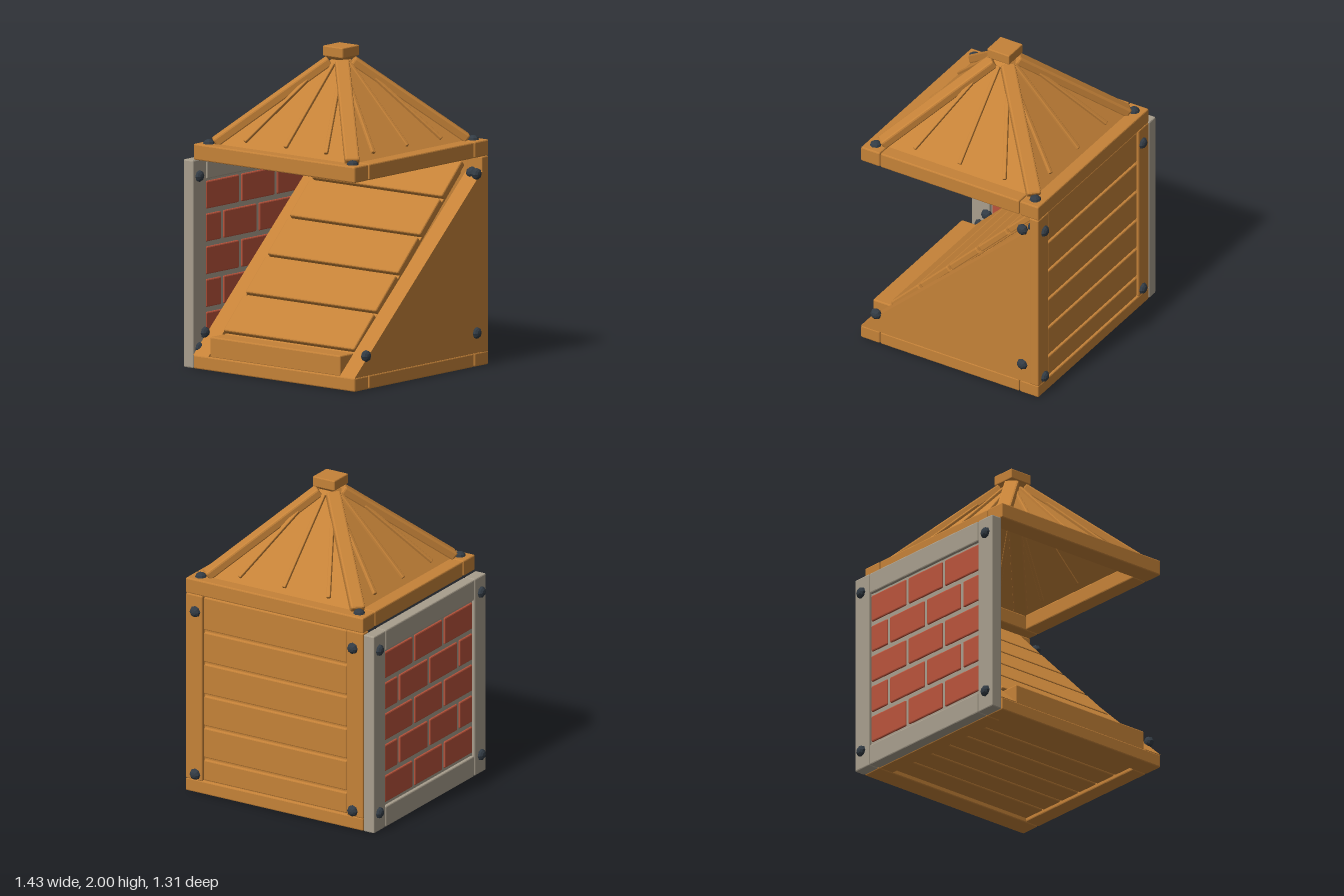
import * as THREE from 'three';
import { RoundedBoxGeometry } from 'three/addons/geometries/RoundedBoxGeometry.js';

const wood = new THREE.MeshStandardMaterial({ color: 0xc58238, flatShading: true, side: THREE.DoubleSide });
wood.name = 'wood';
const stone = new THREE.MeshStandardMaterial({ color: 0xa89e8d, flatShading: true });
stone.name = 'stone';
const brick = new THREE.MeshStandardMaterial({ color: 0xba533b, flatShading: true });
brick.name = 'brick';
const iron = new THREE.MeshStandardMaterial({ color: 0x333c45, flatShading: true });
iron.name = 'iron';

// Outer limits of the body
const X0 = -0.61, X1 = 0.68, Z0 = -0.63, Z1 = 0.65;
const CX = 0.035, CZ = 0.01;

function add(parent, name, geometry, material) {
  const mesh = new THREE.Mesh(geometry, material);
  mesh.name = name;
  parent.add(mesh);
  return mesh;
}

// Chamfered block given by its limits on each axis
function block(parent, name, mat, x0, x1, y0, y1, z0, z1, r = 0.008) {
  const mesh = add(parent, name, new RoundedBoxGeometry(x1 - x0, y1 - y0, z1 - z0, 1, r), mat);
  mesh.position.set((x0 + x1) / 2, (y0 + y1) / 2, (z0 + z1) / 2);
  return mesh;
}

// Beam between two points, w wide and h thick along the up direction
function beam(parent, name, mat, from, to, w, h, up = [0, 1, 0]) {
  const a = new THREE.Vector3(...from), b = new THREE.Vector3(...to);
  const r = Math.min(w, h) * 0.2;
  const mesh = new THREE.Mesh(new RoundedBoxGeometry(w, h, a.distanceTo(b), 1, r), mat);
  mesh.name = name;
  mesh.up.set(...up).normalize();
  mesh.position.copy(a).add(b).multiplyScalar(0.5);
  mesh.lookAt(b);
  parent.add(mesh);
  return mesh;
}

// Domed bolt facing along a normal
function bolt(parent, x, y, z, normal) {
  const mesh = add(parent, 'bolt', new THREE.SphereGeometry(0.037, 8, 6), iron);
  mesh.scale.y = 0.75;
  mesh.quaternion.setFromUnitVectors(new THREE.Vector3(0, 1, 0), new THREE.Vector3(...normal).normalize());
  mesh.position.set(x, y, z);
}

// Rectangular frame of four beams
function frame(parent, name, y0, y1) {
  block(parent, name + 'Front', wood, X0, X1, y0, y1, 0.515, Z1);
  block(parent, name + 'Back', wood, X0, X1, y0, y1, Z0, -0.495);
  block(parent, name + 'Left', wood, 0.575, X1, y0, y1, -0.49, 0.51);
  block(parent, name + 'Right', wood, X0, -0.505, y0, y1, -0.49, 0.51);
}

function makeBase() {
  const g = new THREE.Group();
  g.name = 'base';
  frame(g, 'baseBeam', 0, 0.085);
  const n = 6, step = 1.0 / n;
  for (let i = 0; i < n; i++) {
    const z = -0.49 + i * step;
    block(g, 'floorPlank', wood, -0.505, 0.575, 0.02, 0.07, z + 0.006, z + step - 0.006);
  }
  return g;
}

function makeBody() {
  const g = new THREE.Group();
  g.name = 'body';

  // Triangular sides
  const outline = new THREE.Shape([[Z1, 0.085], [-0.57, 0.085], [-0.57, 1.21], [-0.54, 1.185]]
    .map(([z, y]) => new THREE.Vector2(z, y)));
  for (const x of [X1, -0.49]) {
    const side = add(g, 'triangularSide',
      new THREE.ExtrudeGeometry(outline, { depth: 0.12, bevelEnabled: false }), wood);
    side.rotation.y = -Math.PI / 2;
    side.position.x = x;
  }

  // Sloping planks over a backing sheet
  beam(g, 'rampBacking', wood, [CX, 0.16, 0.53], [CX, 1.2, -0.51], 1.04, 0.02, [0, 1, 1]);
  for (let i = 0; i < 5; i++) {
    const y = 0.235 + i * 0.21;
    beam(g, 'rampPlank', wood, [CX, y - 0.016, 0.734 - y], [CX, y + 0.179, 0.539 - y], 1.045, 0.045, [0, 1, 1]);
  }
  block(g, 'frontStep', wood, -0.485, 0.555, 0.08, 0.21, 0.51, 0.64);

  // Back wall
  block(g, 'backPost', wood, X0, -0.49, 0.08, 1.3, Z0, -0.565);
  block(g, 'backPost', wood, 0.56, X1, 0.08, 1.3, Z0, -0.565);
  block(g, 'backPanel', wood, -0.5, 0.57, 0.08, 1.3, -0.6, -0.575);
  const joints = [0.08, 0.23, 0.44, 0.65, 0.86, 1.07, 1.3];
  for (let i = 0; i < joints.length - 1; i++) {
    block(g, 'backPlank', wood, -0.485, 0.555, joints[i] + 0.007, joints[i + 1] - 0.007, -0.62, -0.58);
  }

  // Bolts on the back, the sides and the slope
  for (const x of [-0.535, 0.61]) {
    for (const y of [0.12, 1.19]) bolt(g, x, y, Z0, [0, 0, -1]);
    bolt(g, x, 1.2, -0.55, [0, 1, 1]);
  }
  for (const [z, y] of [[0.54, 0.21], [-0.515, 0.21], [-0.515, 1.2]]) {
    bolt(g, X1, y, z, [1, 0, 0]);
    bolt(g, X0, y, z, [-1, 0, 0]);
  }
  return g;
}

function makeBrickWall() {
  const g = new THREE.Group();
  g.name = 'brickWall';
  const a = -0.69, b = -0.613;
  block(g, 'wallPost', stone, a, b, 0, 1.295, 0.52, Z1);
  block(g, 'wallPost', stone, a, b, 0, 1.295, Z0, -0.5);
  block(g, 'wallRail', stone, a, b, 1.16, 1.295, -0.495, 0.515);
  block(g, 'wallRail', stone, a, b, 0, 0.135, -0.495, 0.515);
  block(g, 'mortar', stone, -0.67, -0.633, 0.12, 1.17, -0.51, 0.53);

  // Staggered bricks, showing on both faces
  const rows = [[0.51, 0.182, -0.158, -0.49], [0.51, 0.352, 0.015, -0.33, -0.49]];
  for (let r = 0; r < 5; r++) {
    const top = 1.145 - r * 0.204;
    const cuts = rows[r % 2];
    for (let i = 0; i < cuts.length - 1; i++) {
      const zMax = i === 0 ? cuts[i] : cuts[i] - 0.013;
      const zMin = i === cuts.length - 2 ? cuts[i + 1] : cuts[i + 1] + 0.013;
      block(g, 'brick', brick, -0.68, -0.623, top - 0.173, top, zMin, zMax);
    }
  }
  for (const z of [-0.57, 0.59]) {
    for (const y of [0.12, 1.19]) {
      bolt(g, a, y, z, [-1, 0, 0]);
      bolt(g, b, y, z, [1, 0, 0]);
    }
  }
  return g;
}

function makeRoof() {
  const g = new THREE.Group();
  g.name = 'roof';
  frame(g, 'eaveBeam', 1.3, 1.4);

  const top = new THREE.Group();
  top.name = 'roofTop';
  top.position.set(CX, 0, CZ);
  g.add(top);

  // Hollow pyramid
  const half = 0.56;
  const pyramid = add(top, 'roofPanels', new THREE.ConeGeometry(half * Math.SQRT2, half, 4, 1, true), wood);
  pyramid.rotation.y = Math.PI / 4;
  pyramid.position.y = 1.395 + half / 2;

  // Ribs on each slope, as offset across and distance out
  for (let i = 0; i < 4; i++) {
    const slope = new THREE.Group();
    slope.name = 'roofSlope';
    slope.rotation.y = i * Math.PI / 2;
    const at = (x, d) => [x, 1.962 - d, d];
    for (const [x0, d0, x1, d1] of [[0, 0.53, 0, 0.07], [0.325, 0.53, 0.125, 0.17], [-0.325, 0.53, -0.125, 0.17]]) {
      beam(slope, 'roofRib', wood, at(x0, d0), at(x1, d1), 0.026, 0.026, [0, 1, 1]);
    }
    top.add(slope);
  }

  // Hip beams and corner bolts
  for (const sx of [-1, 1]) {
    for (const sz of [-1, 1]) {
      beam(top, 'hipBeam', wood, [sx * 0.55, 1.405, sz * 0.55], [sx * 0.05, 1.905, sz * 0.05], 0.09, 0.06);
      bolt(top, sx * 0.575, 1.4, sz * 0.575, [0, 1, 0]);
    }
  }

  // Cap block with a tapered foot
  block(top, 'roofCap', wood, -0.08, 0.08, 1.935, 2, -0.08, 0.08, 0.006);
  const foot = add(top, 'capFoot', new THREE.CylinderGeometry(0.108, 0.07, 0.025, 4), wood);
  foot.rotation.y = Math.PI / 4;
  foot.position.y = 1.928;
  return g;
}

export function createModel() {
  const model = new THREE.Group();
  model.name = 'woodenHut';
  model.add(makeBase(), makeBody(), makeBrickWall(), makeRoof());
  return model;
}
